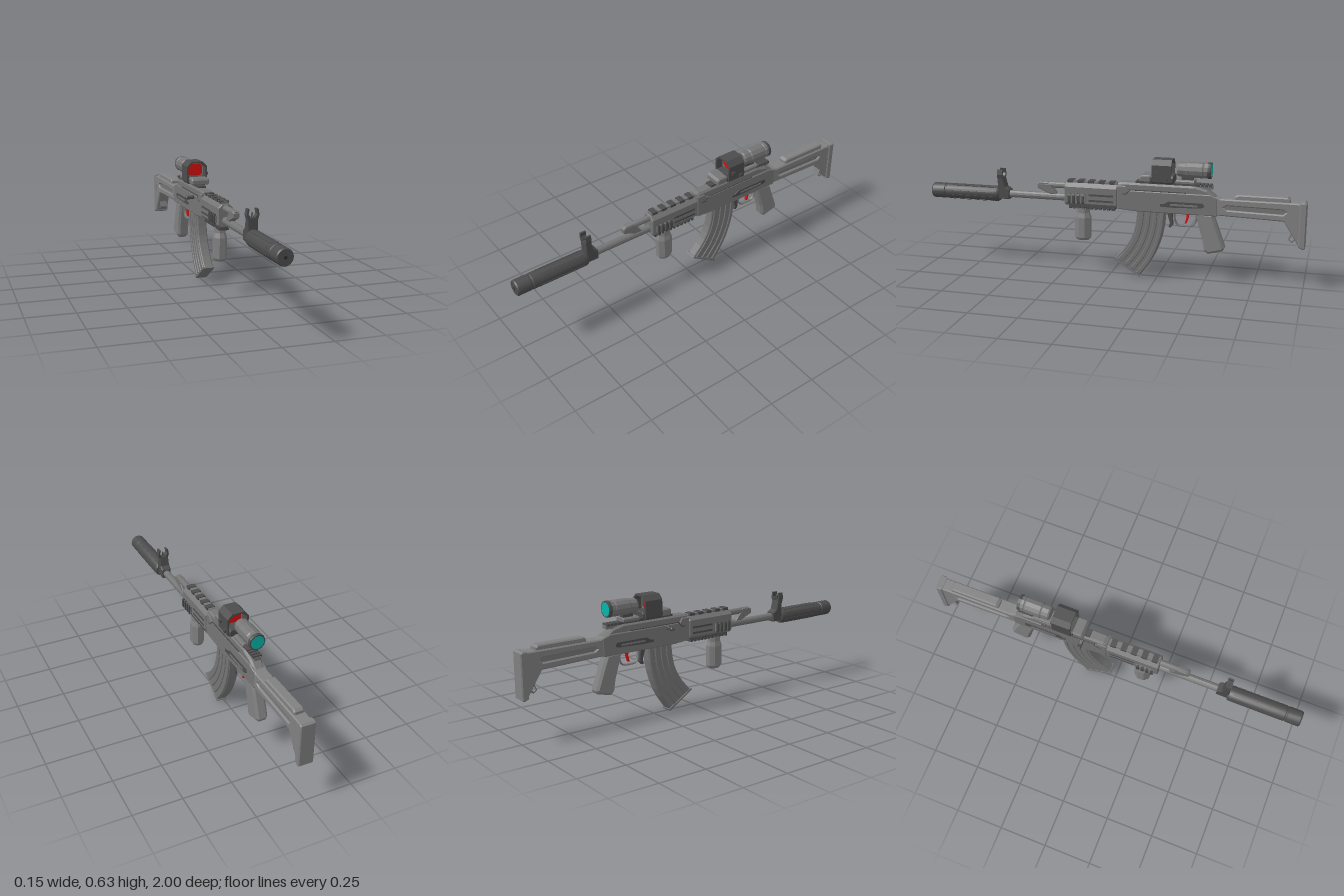
import * as THREE from 'three';
import { toCreasedNormals } from 'three/addons/utils/BufferGeometryUtils.js';

const mat = (name, color) => {
  const m = new THREE.MeshStandardMaterial({ color });
  m.name = name;
  return m;
};

export function createModel() {
  const body = mat('mid grey', 0x747474);
  const light = mat('light grey', 0x808080);
  const dark = mat('dark grey', 0x4c4c4c);
  const black = mat('black', 0x2c2c2c);
  const red = mat('red', 0xd41010);
  const cyan = mat('cyan', 0x08b4ac);

  const model = new THREE.Group();
  model.name = 'rifle';
  const axis = new THREE.Group(); // the bore line sits slightly off x = 0
  axis.name = 'assembly';
  axis.position.x = 0.008;
  model.add(axis);

  const add = (name, geo, m, x = 0, y = 0, z = 0) => {
    const mesh = new THREE.Mesh(geo, m);
    mesh.name = name;
    mesh.position.set(x, y, z);
    axis.add(mesh);
    return mesh;
  };
  const toShape = (pts, holes = []) => {
    const s = new THREE.Shape(pts.map(p => new THREE.Vector2(...p)));
    holes.forEach(h => s.holes.push(new THREE.Path(h.map(p => new THREE.Vector2(...p)))));
    return s;
  };
  const extrude = (pts, depth, bevel, holes) => {
    const g = new THREE.ExtrudeGeometry(toShape(pts, holes), {
      depth: depth - 2 * bevel, bevelEnabled: bevel > 0, bevelThickness: bevel,
      bevelSize: bevel, bevelOffset: -bevel, bevelSegments: 1, curveSegments: 8
    });
    return g.translate(0, 0, bevel - depth / 2);
  };
  // Side outline given as [z, y], given thickness across x
  const side = (name, pts, width, m, bevel = 0, x = 0, holes) =>
    add(name, extrude(pts, width, bevel, holes).rotateY(-Math.PI / 2), m, x);
  // Front outline given as [x, y], running from z0 to z1
  const along = (name, pts, z0, z1, m, bevel = 0, holes) =>
    add(name, extrude(pts, Math.abs(z1 - z0), bevel, holes), m, 0, 0, (z0 + z1) / 2);
  const box = (name, w, h, d, m, x, y, z) => add(name, new THREE.BoxGeometry(w, h, d), m, x, y, z);
  // Turned part along z: profile of [radius, z], rear to front
  const turned = (name, pts, y, m, seg = 20, crease = 0.5) =>
    add(name, toCreasedNormals(new THREE.LatheGeometry(pts.map(p => new THREE.Vector2(...p)), seg)
      .rotateX(Math.PI / 2), crease), m, 0, y, 0);
  // Box outline with cut corners
  const octagon = (w, y0, y1, c, d = c) => [[-w, y0 + c], [-w + c, y0], [w - c, y0], [w, y0 + c],
    [w, y1 - d], [w - d, y1], [-w + d, y1], [-w, y1 - d]];

  // Suppressor with flutes and bore
  turned('suppressor', [[0, 0.615], [0.036, 0.615], [0.041, 0.625], [0.041, 0.915], [0.038, 0.918],
    [0.038, 0.924], [0.041, 0.927], [0.041, 0.993], [0.037, 1], [0, 1]], 0.407, dark);
  for (let i = 0; i < 8; i++) {
    const a = (i + 0.5) * Math.PI / 4;
    const f = box('suppressorRib', 0.01, 0.005, 0.24, dark,
      Math.cos(a) * 0.04, 0.407 + Math.sin(a) * 0.04, 0.76);
    f.rotation.z = a + Math.PI / 2;
  }
  add('bore', new THREE.CircleGeometry(0.008, 16), black, 0, 0.407, 1.0005);

  // Barrel, gas tube and gas block
  turned('barrel', [[0, 0.2], [0.02, 0.2], [0.02, 0.63], [0, 0.63]], 0.411, body, 12);
  turned('gasTube', [[0, 0.2], [0.017, 0.2], [0.017, 0.385], [0.012, 0.395], [0, 0.395]], 0.474, body, 12);
  side('gasBlock', [[0.4, 0.455], [0.4, 0.478], [0.385, 0.488], [0.34, 0.488], [0.29, 0.425], [0.33, 0.425]],
    0.032, body, 0.004);

  // Front sight
  side('frontSightBase', [[0.555, 0.385], [0.62, 0.385], [0.62, 0.5], [0.59, 0.5], [0.578, 0.45], [0.555, 0.435]],
    0.052, dark, 0.004);
  for (const s of [-1, 1]) {
    const ear = along('frontSightEar', [[0.012, 0.49], [0.026, 0.495], [0.031, 0.515], [0.026, 0.543],
      [0.017, 0.543], [0.022, 0.518], [0.012, 0.505]].map(([x, y]) => [s * x, y]), 0.59, 0.62, dark);
    ear.name = s > 0 ? 'leftSightEar' : 'rightSightEar';
  }
  box('frontSightPost', 0.005, 0.03, 0.006, dark, 0, 0.51, 0.605);

  // Handguard with rails on four sides
  along('handguard', octagon(0.039, 0.378, 0.496, 0.012, 0.02), -0.04, 0.243, body, 0.004);
  box('topRail', 0.034, 0.012, 0.27, body, 0, 0.5, 0.1);
  box('bottomRail', 0.04, 0.014, 0.25, dark, 0, 0.374, 0.1);
  for (let i = 0; i < 5; i++) box('topRailTooth', 0.044, 0.014, 0.03, dark, 0, 0.503, 0.215 - i * 0.056);
  for (let i = 0; i < 11; i++) box('bottomRailTooth', 0.05, 0.012, 0.014, dark, 0, 0.364, 0.215 - i * 0.023);
  for (const s of [-1, 1]) {
    box('sideRail', 0.012, 0.04, 0.095, body, s * 0.043, 0.418, 0.175);
    for (let i = 0; i < 4; i++)
      along('sideRailTooth', [[s * 0.044, 0.392], [s * 0.051, 0.392], [s * 0.055, 0.402],
        [s * 0.055, 0.434], [s * 0.051, 0.444], [s * 0.044, 0.444]], 0.132 + i * 0.025, 0.145 + i * 0.025, dark);
    for (const y of [0.408, 0.438]) box('handguardSlot', 0.004, 0.01, 0.13, dark, s * 0.0385, y, 0.045);
  }

  // Vertical foregrip
  const grip = new THREE.LatheGeometry([[0, 0.188], [0.034, 0.188], [0.045, 0.202], [0.045, 0.31],
    [0.036, 0.335], [0.036, 0.362]].map(p => new THREE.Vector2(...p)), 8, Math.PI / 8);
  add('foregrip', toCreasedNormals(grip.scale(0.8, 1, 1), 0.1), light, 0, 0, 0.152);

  // Receiver, top cover and optic rail
  side('receiver', [[-0.04, 0.375], [-0.13, 0.367], [-0.56, 0.367], [-0.56, 0.46], [-0.52, 0.475],
    [-0.1, 0.475], [-0.085, 0.497], [-0.04, 0.497]], 0.072, body, 0.004);
  side('topCover', [[-0.04, 0.47], [-0.04, 0.507], [-0.06, 0.514], [-0.44, 0.514], [-0.505, 0.497],
    [-0.55, 0.465], [-0.55, 0.45]], 0.06, body, 0.01);
  side('coverSeam', [[-0.07, 0.452], [-0.09, 0.452], [-0.11, 0.476], [-0.4, 0.476], [-0.4, 0.48],
    [-0.107, 0.48], [-0.088, 0.458], [-0.07, 0.458]], 0.074, dark);
  box('opticRail', 0.042, 0.012, 0.33, dark, 0, 0.518, -0.3);
  for (let i = 0; i < 4; i++) box('rearRailTooth', 0.046, 0.012, 0.014, dark, 0, 0.518, -0.46 - i * 0.02);
  box('rearRail', 0.034, 0.018, 0.09, body, 0, 0.507, -0.485);

  // Selector levers, charging handle and side details
  const lever = [[-0.268, 0.402], [-0.33, 0.4], [-0.48, 0.405], [-0.495, 0.414], [-0.485, 0.43],
    [-0.31, 0.43], [-0.285, 0.415], [-0.268, 0.415]];
  for (const s of [-1, 1]) {
    side('selectorLever', lever, 0.008, dark, 0, s * 0.037);
    side('selectorRidge', [[-0.32, 0.41], [-0.46, 0.41], [-0.46, 0.42], [-0.32, 0.42]], 0.008, body, 0, s * 0.039);
  }
  along('chargingHandle', [[-0.03, 0.45], [-0.055, 0.453], [-0.062, 0.448], [-0.078, 0.452], [-0.083, 0.46],
    [-0.074, 0.469], [-0.055, 0.467], [-0.03, 0.472]].reverse(), -0.185, -0.165, dark, 0.003);

  // Curved magazine with raised ribs
  const curve = pts => new THREE.SplineCurve(pts.map(p => new THREE.Vector2(...p)));
  const front = curve([[-0.148, 0.4], [-0.132, 0.27], [-0.088, 0.176], [-0.022, 0.1]]);
  const rear = curve([[-0.292, 0.4], [-0.28, 0.262], [-0.232, 0.123], [-0.157, 0.014]]);
  const magazine = (name, f0, f1, t0, t1, width, m, bevel) => {
    const edge = f => Array.from({ length: 9 }, (_, i) => {
      const t = t0 + (t1 - t0) * i / 8;
      return front.getPoint(t).lerp(rear.getPoint(t), f).toArray();
    });
    side(name, [...edge(f0), ...edge(f1).reverse()], width, m, bevel);
  };
  magazine('magazine', 0, 1, 0, 1, 0.05, body, 0.004);
  for (const [a, b] of [[0.08, 0.26], [0.36, 0.5], [0.6, 0.74], [0.84, 0.98]])
    magazine('magazineRib', a, b, 0.05, 0.95, 0.06, body, 0.003);
  magazine('magazineFloor', -0.03, 1.03, 0.955, 1.0, 0.062, body, 0);

  // Trigger group
  side('magazineRelease', [[-0.298, 0.37], [-0.325, 0.37], [-0.33, 0.3], [-0.318, 0.285], [-0.308, 0.29],
    [-0.315, 0.31]], 0.02, dark);
  const guard = new THREE.CatmullRomCurve3([[0.37, -0.335], [0.325, -0.34], [0.302, -0.355], [0.298, -0.39],
    [0.302, -0.43], [0.325, -0.447], [0.37, -0.45]].map(([y, z]) => new THREE.Vector3(0, y, z)));
  add('triggerGuard', new THREE.TubeGeometry(guard, 24, 0.0045, 6).scale(2.6, 1, 1), body);
  side('trigger', [[-0.397, 0.372], [-0.414, 0.372], [-0.41, 0.345], [-0.4, 0.312], [-0.391, 0.312],
    [-0.4, 0.345]], 0.014, red);

  // Pistol grip
  side('pistolGrip', [[-0.445, 0.375], [-0.535, 0.375], [-0.553, 0.33], [-0.6, 0.2], [-0.592, 0.183],
    [-0.515, 0.163], [-0.495, 0.18], [-0.485, 0.24]], 0.062, light, 0.012);

  // Stock with recessed slot, cheek riser, butt plate and sling loop
  const slot = [[-0.59, 0.413], [-0.605, 0.424], [-0.885, 0.42], [-0.9, 0.409], [-0.885, 0.396], [-0.605, 0.402]];
  side('stock', [[-0.545, 0.372], [-0.89, 0.362], [-0.965, 0.242], [-0.975, 0.235], [-0.975, 0.458],
    [-0.575, 0.458], [-0.545, 0.466]], 0.068, light, 0.006, 0, [slot]);
  side('stockSlotFloor', slot, 0.046, body);
  side('cheekRiser', [[-0.645, 0.45], [-0.645, 0.472], [-0.66, 0.482], [-0.905, 0.482], [-0.918, 0.472],
    [-0.918, 0.45]], 0.052, light, 0.006);
  side('buttPlate', [[-0.965, 0.236], [-0.99, 0.226], [-1, 0.232], [-1, 0.456], [-0.99, 0.464],
    [-0.965, 0.462]], 0.079, light, 0.005);
  side('slingLoop', [[-0.915, 0.268], [-0.935, 0.252], [-0.96, 0.282], [-0.93, 0.3]], 0.04, body, 0, 0,
    [[[-0.922, 0.27], [-0.934, 0.261], [-0.95, 0.281], [-0.932, 0.29]]]);

  // Window sight: base, hood and lens
  along('sightBase', octagon(0.05, 0.524, 0.562, 0.01), -0.335, -0.215, dark, 0.003);
  side('sightBattery', [[-0.16, 0.53], [-0.16, 0.55], [-0.172, 0.562], [-0.22, 0.562], [-0.22, 0.525],
    [-0.168, 0.525]], 0.096, body, 0.006);
  const hood = octagon(0.057, 0.523, 0.643, 0.008, 0.026);
  const opening = octagon(0.048, 0.55, 0.634, 0.006, 0.022);
  along('sightHood', hood, -0.325, -0.225, dark, 0, [opening]);
  const pane = octagon(0.041, 0.558, 0.626, 0.014);
  along('lensFrame', octagon(0.046, 0.55, 0.632, 0.016), -0.28, -0.262, body, 0, [pane]);
  along('sightLens', pane, -0.274, -0.268, red);
  for (const [y, z] of [[0.575, -0.25], [0.546, -0.3]]) box('sightKnob', 0.01, 0.016, 0.02, dark, 0.06, y, z);
  for (const z of [-0.265, -0.285, -0.305]) box('sightButton', 0.006, 0.012, 0.01, body, -0.051, 0.545, z);

  // Magnifier on its mount
  turned('magnifier', [[0, -0.518], [0.036, -0.518], [0.042, -0.508], [0.042, -0.49], [0.039, -0.485],
    [0.042, -0.478], [0.042, -0.4], [0.038, -0.392], [0.038, -0.358], [0.034, -0.35], [0, -0.35]],
    0.594, body, 12, 0.3);
  turned('magnifierRearRing', [[0.034, -0.522], [0.041, -0.522], [0.043, -0.512], [0.0425, -0.505]], 0.594, dark, 12)
    .material = dark;
  add('magnifierLens', new THREE.CircleGeometry(0.035, 20).rotateY(Math.PI), cyan, 0, 0.594, -0.5225);
  box('magnifierPost', 0.026, 0.04, 0.06, dark, 0, 0.54, -0.4);
  along('magnifierMount', octagon(0.034, 0.52, 0.542, 0.006), -0.44, -0.345, body, 0.002);

  return model;
}
